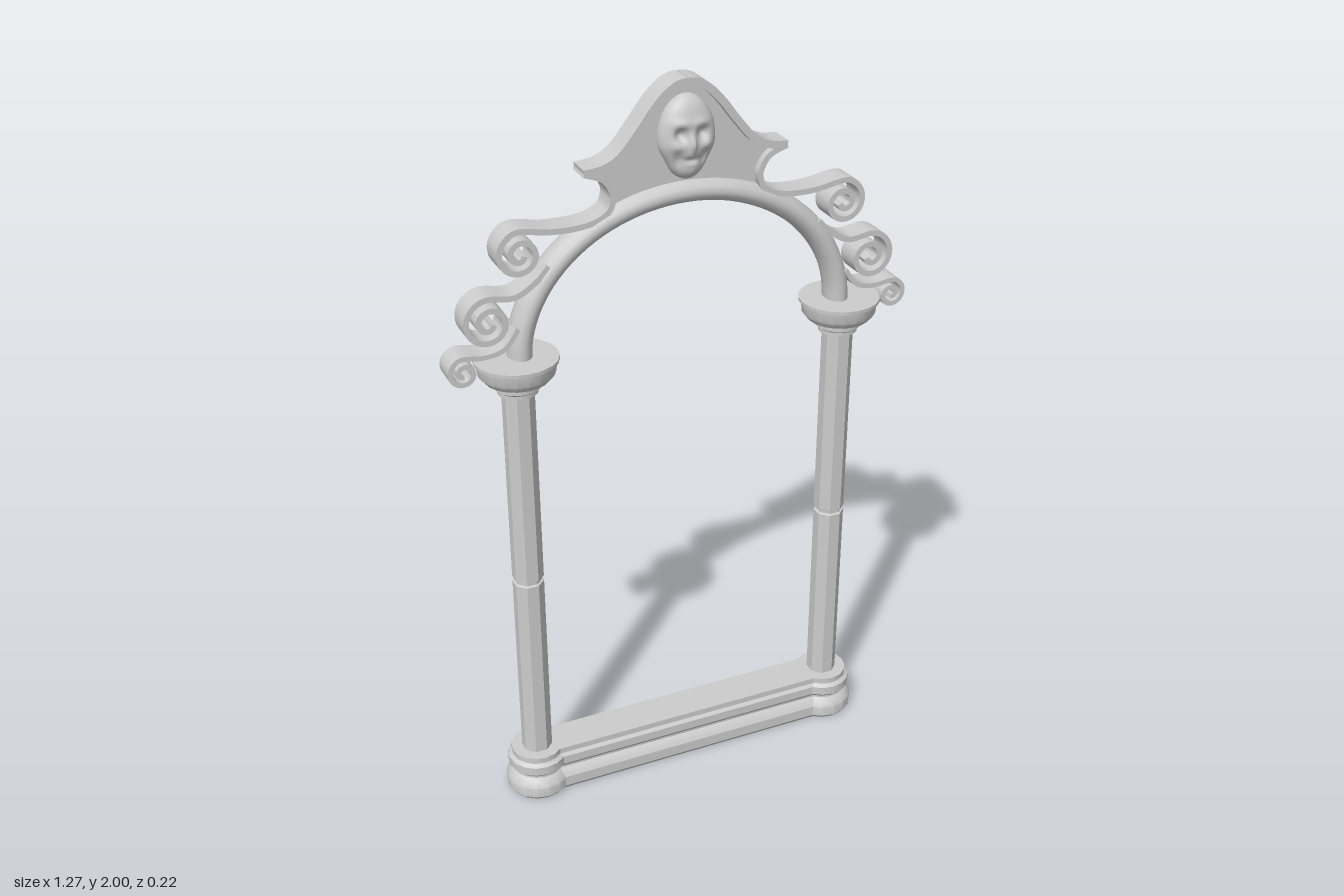
import * as THREE from 'three';
import { toCreasedNormals } from 'three/addons/utils/BufferGeometryUtils.js';

const material = new THREE.MeshStandardMaterial({ color: 0xcccccc, side: THREE.DoubleSide });
const COLUMN_X = 0.45;
const RIBBON_DEPTH = 0.07;
const v2 = ([x, y]) => new THREE.Vector2(x, y);

function add(parent, name, geometry) {
  const mesh = new THREE.Mesh(geometry, material);
  mesh.name = name;
  parent.add(mesh);
  return mesh;
}

const lathe = (profile, sides) =>
  toCreasedNormals(new THREE.LatheGeometry(profile.map(v2), sides), 0.6);

// Flat strip of even thickness following a 2D path, extruded in z
function ribbon(path, thickness, samples) {
  const curve = new THREE.SplineCurve(path.map(v2));
  const outer = [], inner = [];
  for (let i = 0; i <= samples; i++) {
    const p = curve.getPoint(i / samples), t = curve.getTangent(i / samples);
    const n = new THREE.Vector2(-t.y, t.x).multiplyScalar(thickness / 2);
    outer.push(p.clone().add(n));
    inner.unshift(p.clone().sub(n));
  }
  const geometry = new THREE.ExtrudeGeometry(new THREE.Shape([...outer, ...inner]), {
    depth: RIBBON_DEPTH, bevelEnabled: false,
  });
  geometry.translate(0, 0, -0.04);
  return toCreasedNormals(geometry, 0.7);
}

// Lead-in points followed by a clockwise spiral that starts at its top
function volute(lead, cx, cy, radius, turns) {
  const points = [...lead];
  const steps = Math.round(turns * 10);
  for (let i = 0; i <= steps; i++) {
    const a = Math.PI / 2 - (i / 10) * Math.PI * 2;
    const r = radius * (1 - 0.82 * (i / steps));
    points.push([cx + r * Math.cos(a), cy + r * Math.sin(a)]);
  }
  return points;
}

// Mask with brow, sockets, nose and mouth pressed into half an ellipsoid
function faceMask() {
  const geometry = new THREE.SphereGeometry(1, 48, 48, 0, Math.PI);
  const pos = geometry.attributes.position;
  const bump = (u, v, cu, cv, su, sv) =>
    Math.exp(-(((u - cu) / su) ** 2) - ((v - cv) / sv) ** 2);
  for (let i = 0; i < pos.count; i++) {
    const u = pos.getX(i), v = pos.getY(i), w = Math.max(0, pos.getZ(i));
    const side = Math.abs(u);
    const jaw = 1 - 0.14 * THREE.MathUtils.smoothstep(-v, 0.1, 0.6);
    const relief =
      -0.02 * bump(side, v, 0.38, 0.14, 0.2, 0.15)
      + 0.007 * bump(side, v, 0.35, 0.4, 0.35, 0.1)
      + 0.006 * bump(side, v, 0.55, -0.12, 0.2, 0.12)
      + 0.012 * bump(u, v, 0, -0.08, 0.1, 0.2)
      - 0.012 * bump(side, v, 0.5, -0.45, 0.2, 0.2)
      - 0.012 * bump(u, v, 0, -0.46, 0.28, 0.06)
      + 0.006 * bump(u, v, 0, -0.8, 0.3, 0.15);
    pos.setXYZ(i, 0.074 * u * jaw, 1.851 + 0.106 * v, 0.008 + 0.052 * w ** 0.75 + relief * w);
  }
  geometry.computeVertexNormals();
  return geometry;
}

export function createModel() {
  const model = new THREE.Group();
  model.name = 'archedFrame';

  // Columns with pedestals and capitals
  const pedestal = lathe([
    [0.08, 0], [0.09, 0.012], [0.09, 0.042], [0.078, 0.06], [0.07, 0.066], [0.07, 0.072],
    [0.083, 0.085], [0.083, 0.11], [0.072, 0.118], [0.072, 0.135], [0, 0.135],
  ], 16);
  const shaft = new THREE.LatheGeometry([
    [0.042, 0.13], [0.042, 0.685], [0.036, 0.688], [0.036, 0.696], [0.042, 0.7], [0.042, 1.255],
  ].map(v2), 8, Math.PI / 8).toNonIndexed();
  shaft.computeVertexNormals();
  const capital = lathe([
    [0.04, 1.245], [0.052, 1.25], [0.052, 1.26], [0.06, 1.266], [0.06, 1.277], [0.066, 1.283],
    [0.084, 1.288], [0.098, 1.305], [0.102, 1.335], [0.108, 1.337], [0.108, 1.346], [0, 1.346],
  ], 20);
  for (const s of [1, -1]) {
    const column = new THREE.Group();
    column.name = s > 0 ? 'leftColumn' : 'rightColumn';
    column.position.x = s * COLUMN_X;
    add(column, 'pedestal', pedestal);
    add(column, 'shaft', shaft);
    add(column, 'capital', capital);
    model.add(column);
  }

  // Moulded sill, open underneath
  const half = [
    [0.06, 0], [0.068, 0.012], [0.068, 0.042], [0.058, 0.06], [0.05, 0.066],
    [0.05, 0.072], [0.06, 0.085], [0.06, 0.11], [0.052, 0.118], [0.052, 0.135],
  ];
  const wall = half.map(([z, y]) => [z - 0.012, Math.min(y, 0.123)]).reverse();
  const rim = [...half, ...half.map(([z, y]) => [-z, y]).reverse(),
    ...wall.map(([z, y]) => [-z, y]).reverse(), ...wall];
  const sill = new THREE.ExtrudeGeometry(new THREE.Shape(rim.map(v2)), {
    depth: 2 * COLUMN_X - 0.1, bevelEnabled: false,
  });
  sill.translate(0, 0, -COLUMN_X + 0.05);
  sill.rotateY(Math.PI / 2);
  add(model, 'sill', toCreasedNormals(sill, 0.5));

  // Rounded arch
  const archPoints = [];
  for (let i = 0; i <= 24; i++) {
    const a = (i / 24) * Math.PI;
    archPoints.push(new THREE.Vector3(0.44 * Math.cos(a), 1.34 + 0.37 * Math.sin(a), 0));
  }
  const arch = new THREE.TubeGeometry(new THREE.CatmullRomCurve3(archPoints), 48, 0.031, 14);
  arch.scale(1, 1, 1.4);
  arch.translate(0, 0, -0.005);
  add(model, 'arch', arch);

  // Gable panel with an opening behind the mask
  const crown = [[0, 1.988], [0.03, 1.983], [0.063, 1.96], [0.095, 1.925], [0.127, 1.883],
    [0.175, 1.828], [0.22, 1.804], [0.268, 1.798]];
  const neck = [[0.268, 1.797], [0.222, 1.778], [0.2, 1.748], [0.196, 1.722], [0.212, 1.69]];
  const edge = [...crown, ...neck, [0.212, 1.66], [0.1, 1.7]];
  const outline = [...edge, [0, 1.71], ...edge.slice(1).reverse().map(([x, y]) => [-x, y])];
  const panelShape = new THREE.Shape(outline.map(v2));
  panelShape.holes.push(new THREE.Path().absellipse(0, 1.851, 0.06, 0.09, 0, Math.PI * 2, true));
  const panel = new THREE.ShapeGeometry(panelShape, 16);
  panel.translate(0, 0, 0.01);
  add(model, 'gablePanel', panel);
  add(model, 'faceMask', faceMask());

  // Crown moulding and scrollwork, mirrored left and right
  const strips = {
    crownMoulding: ribbon(crown, 0.02, 40),
    upperScroll: ribbon(volute([...neck, [0.265, 1.669], [0.35, 1.667]],
      0.435, 1.62, 0.06, 1.7), 0.015, 130),
    middleScroll: ribbon(volute([[0.365, 1.58], [0.4, 1.545], [0.455, 1.515]],
      0.522, 1.457, 0.065, 1.7), 0.015, 120),
    lowerScroll: ribbon(volute([[0.45, 1.43], [0.485, 1.385], [0.535, 1.372]],
      0.592, 1.338, 0.04, 1.5), 0.013, 100),
  };
  for (const s of [1, -1]) {
    const side = new THREE.Group();
    side.name = s > 0 ? 'leftScrollwork' : 'rightScrollwork';
    side.scale.x = s;
    for (const [name, geometry] of Object.entries(strips)) add(side, name, geometry);
    model.add(side);
  }
  return model;
}
